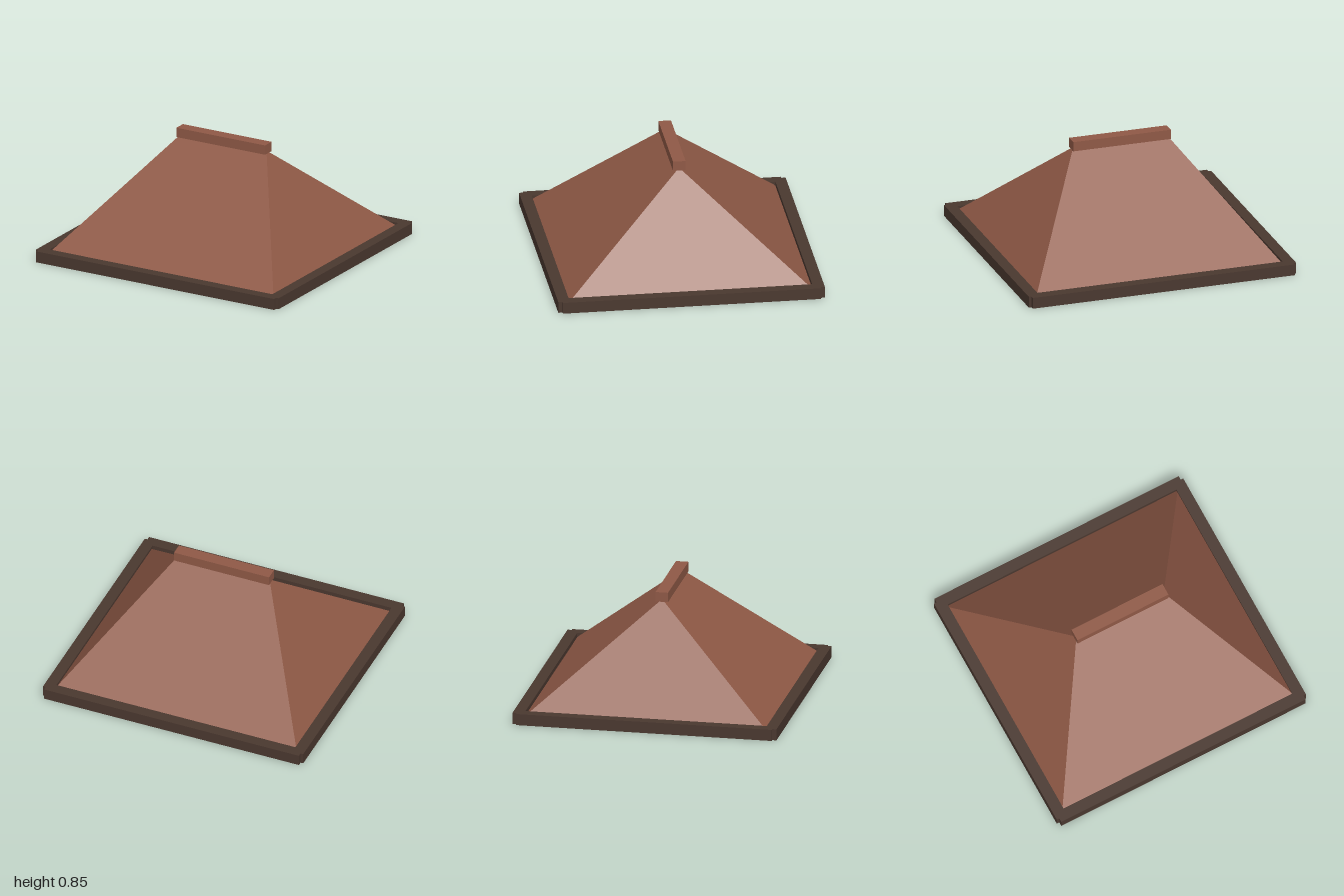
import * as THREE from 'three';

export function createModel() {
  const group = new THREE.Group();
  const tile = new THREE.MeshStandardMaterial({ name: 'terracotta', color: 0x8f5946, side: THREE.DoubleSide });
  const wood = new THREE.MeshStandardMaterial({ name: 'darkWood', color: 0x4a382f });

  function add(name, geometry, material, x = 0, y = 0, z = 0) {
    const mesh = new THREE.Mesh(geometry, material);
    mesh.name = name;
    mesh.position.set(x, y, z);
    group.add(mesh);
  }

  // Hollow hipped roof: four slopes from the eaves up to a short ridge, open below
  const X = 0.936, Z = 0.883, low = 0.04, R = 0.35, high = 0.79;
  const a = [-X, low, Z], b = [X, low, Z], c = [X, low, -Z], d = [-X, low, -Z];
  const left = [R, high, 0], right = [-R, high, 0];
  const slopes = {
    frontSlope: [a, b, left, a, left, right],
    backSlope: [c, d, right, c, right, left],
    leftSlope: [b, c, left],
    rightSlope: [d, a, right],
  };
  for (const [name, corners] of Object.entries(slopes)) {
    const geometry = new THREE.BufferGeometry();
    geometry.setAttribute('position', new THREE.Float32BufferAttribute(corners.flat(), 3));
    geometry.computeVertexNormals();
    add(name, geometry, tile);
  }

  // Ridge cap
  add('ridgeCap', new THREE.BoxGeometry(0.73, 0.07, 0.09), tile, 0, 0.81, 0);

  // Eave beams, crossing in stepped corners
  for (const s of [1, -1]) {
    add(s > 0 ? 'frontEave' : 'backEave', new THREE.BoxGeometry(1.96, 0.082, 0.082), wood, 0, 0.041, s * 0.912);
    add(s > 0 ? 'leftEave' : 'rightEave', new THREE.BoxGeometry(0.082, 0.082, 1.846), wood, s * 0.959, 0.041, 0);
  }
  return group;
}
